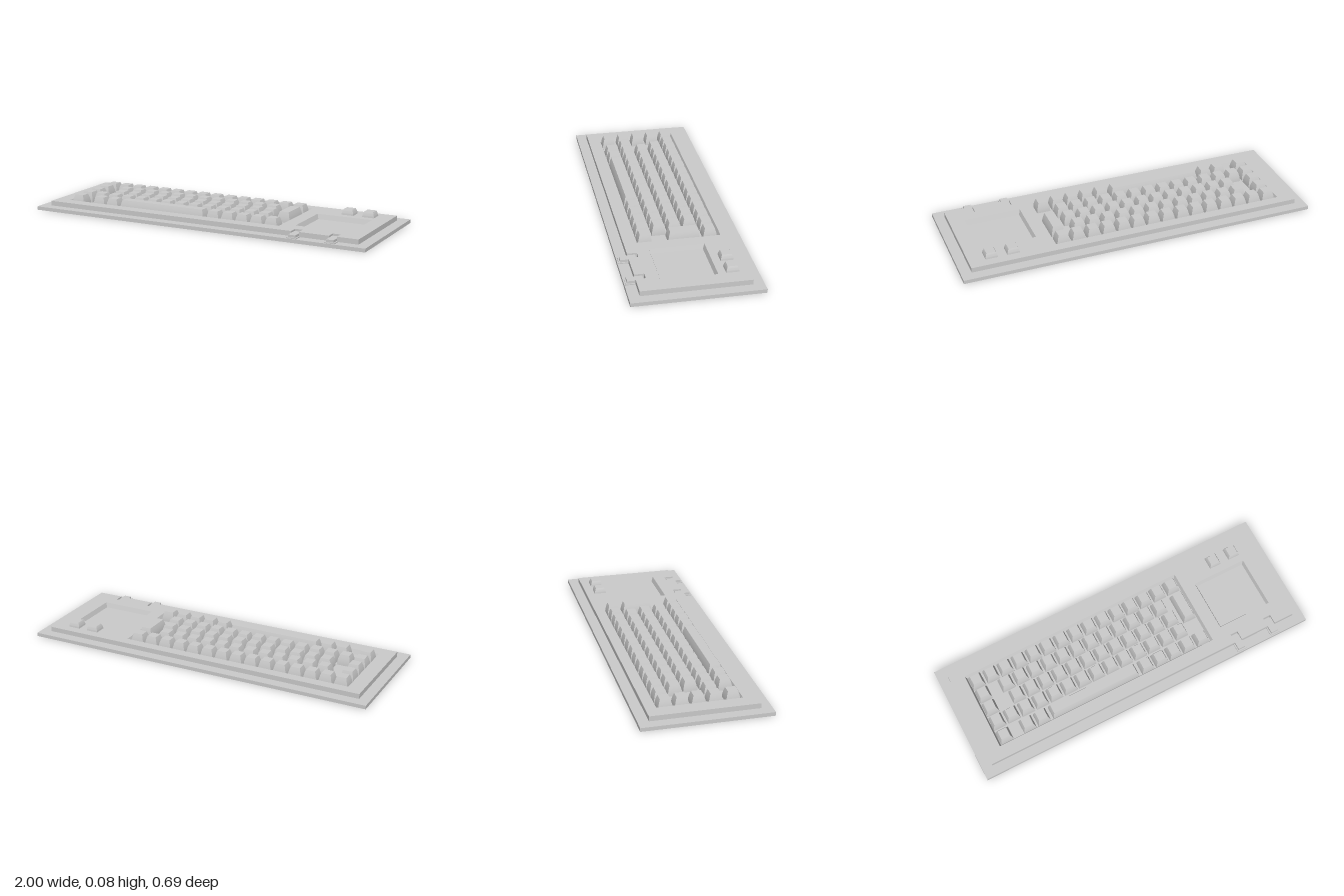
import * as THREE from 'three';
import { toCreasedNormals } from 'three/addons/utils/BufferGeometryUtils.js';

const material = new THREE.MeshStandardMaterial({ color: 0xcccccc });
const BASE = 0.02, DECK = 0.047, TOP = 0.078;
const PITCH = 0.0873;

function add(parent, name, geometry, x = 0, y = 0, z = 0) {
  const mesh = new THREE.Mesh(geometry, material);
  mesh.name = name;
  mesh.position.set(x, y, z);
  parent.add(mesh);
  return mesh;
}

// Key body: a box standing on y = 0 whose sides draw in along a soft curve
function keyGeometry(w, h, d, inset) {
  const geo = new THREE.BoxGeometry(w, h, d, 1, 5, 1);
  geo.translate(0, h / 2, 0);
  const p = geo.attributes.position;
  for (let i = 0; i < p.count; i++) {
    const s = inset * Math.pow(p.getY(i) / h, 1.7);
    p.setX(i, p.getX(i) - Math.sign(p.getX(i)) * s);
    p.setZ(i, p.getZ(i) - Math.sign(p.getZ(i)) * s);
  }
  return toCreasedNormals(geo, 0.6);
}

// Deck plate with two sloping pockets and two notches in the front edge
function deckGeometry(pockets, latches) {
  const X = 0.942, Z = 0.288, half = 0.022, notch = 0.236;
  const s = new THREE.Shape();
  s.moveTo(-X, -Z);
  for (const x of latches) {
    s.lineTo(x - half, -Z);
    s.lineTo(x - half, -notch);
    s.lineTo(x + half, -notch);
    s.lineTo(x + half, -Z);
  }
  s.lineTo(X, -Z);
  s.lineTo(X, Z);
  s.lineTo(-X, Z);
  s.closePath();
  for (const [x0, x1, z0, z1] of pockets) {
    const hole = new THREE.Path();
    hole.moveTo(x0, -z0);
    hole.lineTo(x1, -z0);
    hole.lineTo(x1, -z1);
    hole.lineTo(x0, -z1);
    hole.closePath();
    s.holes.push(hole);
  }
  const geo = new THREE.ExtrudeGeometry(s, { depth: DECK - BASE, bevelEnabled: false });
  geo.rotateX(-Math.PI / 2);
  // draw the lower rim of each pocket inwards
  const p = geo.attributes.position, e = 1e-4;
  for (let i = 0; i < p.count; i++) {
    if (p.getY(i) > e) continue;
    const x = p.getX(i), z = p.getZ(i);
    for (const [x0, x1, z0, z1] of pockets) {
      if (x < x0 - e || x > x1 + e || z < z0 - e || z > z1 + e) continue;
      p.setX(i, x + 0.009 * Math.sign((x0 + x1) / 2 - x));
      p.setZ(i, z + 0.009 * Math.sign((z0 + z1) / 2 - z));
    }
  }
  geo.computeVertexNormals();
  return geo;
}

export function createModel() {
  const model = new THREE.Group();
  model.name = 'keyboardPanel';

  // Panel
  const latchX = [0.59, 0.802];
  add(model, 'basePlate', new THREE.BoxGeometry(2, BASE, 0.69), 0, BASE / 2, 0);
  const pockets = [[-0.86, 0.465, -0.233, 0.217], [0.54, 0.855, -0.128, 0.168]];
  add(model, 'deckPlate', deckGeometry(pockets, latchX), 0, BASE, 0);

  // Key rows: z, then runs of [first x, number of keys]
  const first = -0.811;
  const rows = [
    [-0.181, [[first, 15]]],
    [-0.095, [[first, 1], [-0.671, 12]]],
    [-0.008, [[first, 1], [-0.647, 12]]],
    [0.08, [[first, 14]]],
    [0.171, [[first, 1], [-0.671, 2], [first + 10 * PITCH, 5]]],
  ];
  const keys = new THREE.Group();
  keys.name = 'keys';
  model.add(keys);
  const h = TOP - BASE;
  const square = keyGeometry(0.076, h, 0.076, 0.012);
  for (const [z, runs] of rows)
    for (const [x, n] of runs)
      for (let i = 0; i < n; i++) add(keys, 'key', square, x + i * PITCH, BASE, z);
  add(keys, 'spaceBar', keyGeometry(0.535, h, 0.076, 0.012), -0.262, BASE, 0.171);
  add(keys, 'tallKey', keyGeometry(0.076, h, 0.172, 0.012), 0.412, BASE, -0.04);

  // Two buttons behind the touch area
  const button = keyGeometry(0.068, TOP - DECK, 0.068, 0.009);
  for (const x of [0.698, 0.818]) add(model, 'rearButton', button, x, DECK, -0.204);

  // Front latches set into the notches
  for (const x of latchX) {
    const latch = new THREE.Group();
    latch.name = 'frontLatch';
    model.add(latch);
    add(latch, 'latchFoot', new THREE.BoxGeometry(0.058, 0.005, 0.05), x, BASE + 0.0025, 0.313);
    add(latch, 'latchBody', new THREE.BoxGeometry(0.042, 0.018, 0.085), x, BASE + 0.009, 0.2875);
  }
  return model;
}
